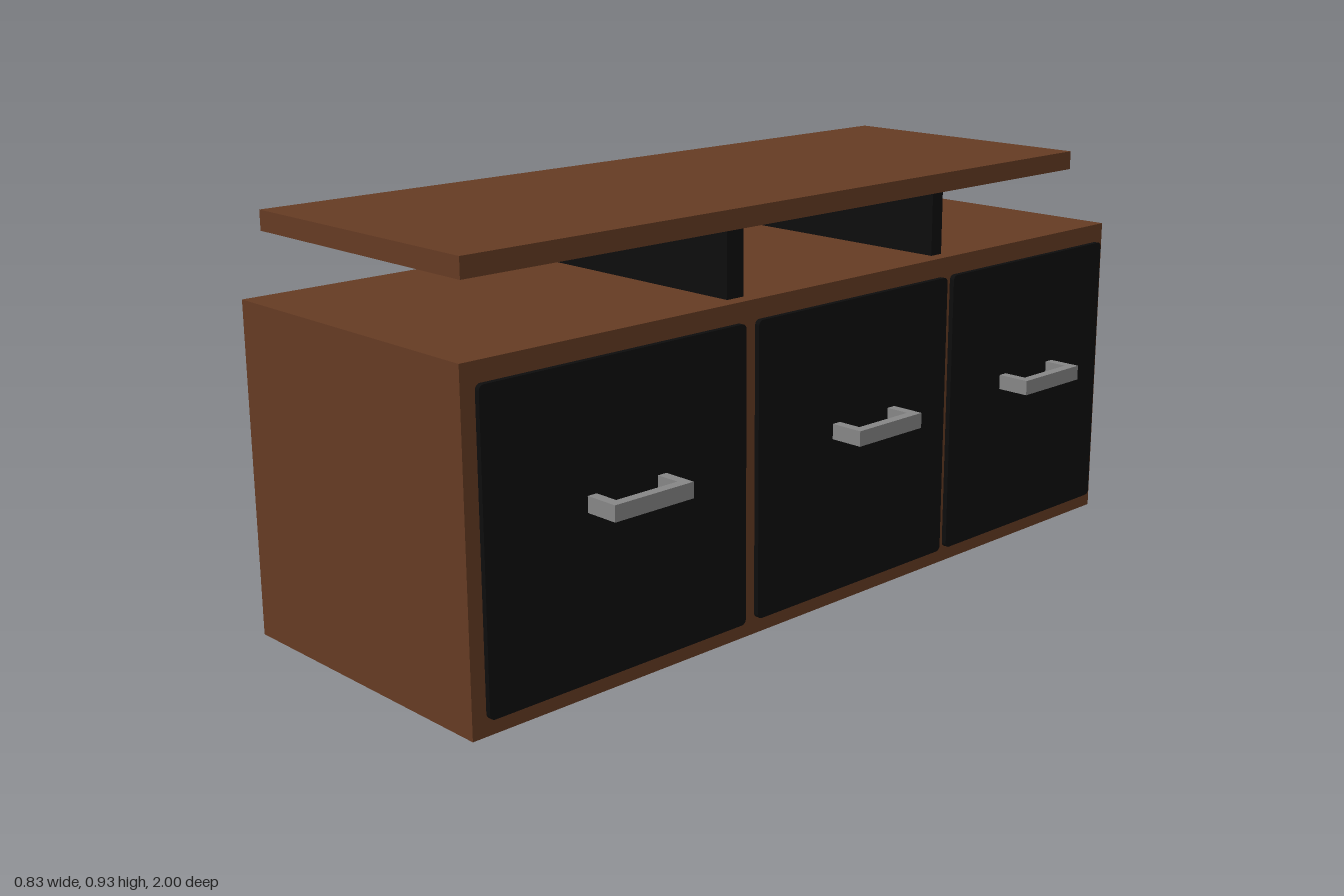
import * as THREE from 'three';

export function createModel() {
  const model = new THREE.Group();
  model.name = 'sideboard';

  const mat = (name, color) => {
    const m = new THREE.MeshStandardMaterial({ color });
    m.name = name;
    return m;
  };
  const wood = mat('brown wood', 0x653b23);
  const black = mat('black panel', 0x0d0d0d);
  const metal = mat('grey metal', 0x868686);

  // Box given by its minimum and maximum corners
  const box = (name, material, [x0, y0, z0], [x1, y1, z1], parent = model) => {
    const mesh = new THREE.Mesh(new THREE.BoxGeometry(x1 - x0, y1 - y0, z1 - z0), material);
    mesh.position.set((x0 + x1) / 2, (y0 + y1) / 2, (z0 + z1) / 2);
    mesh.name = name;
    parent.add(mesh);
  };

  // Cabinet body and raised top shelf
  box('cabinetBody', wood, [-0.418, 0, -1], [0.324, 0.744, 1]);
  box('topShelf', wood, [-0.386, 0.888, -0.899], [0.29, 0.932, 0.965]);

  // Two full-depth supports under the shelf
  for (const [z0, z1] of [[0.24, 0.288], [-0.406, -0.371]]) {
    box('shelfSupport', black, [-0.386, 0.744, z0], [0.29, 0.888, z1]);
  }

  // Door panel with slightly rounded corners, facing +x
  const addDoor = (z0, z1) => {
    const w = (z1 - z0) / 2, h = 0.332, r = 0.012;
    const s = new THREE.Shape();
    s.moveTo(-w + r, -h);
    s.lineTo(w - r, -h);
    s.absarc(w - r, -h + r, r, -Math.PI / 2, 0);
    s.lineTo(w, h - r);
    s.absarc(w - r, h - r, r, 0, Math.PI / 2);
    s.lineTo(-w + r, h);
    s.absarc(-w + r, h - r, r, Math.PI / 2, Math.PI);
    s.lineTo(-w, -h + r);
    s.absarc(-w + r, -h + r, r, Math.PI, Math.PI * 1.5);
    const geo = new THREE.ExtrudeGeometry(s, { depth: 0.014, bevelEnabled: false, curveSegments: 5 });
    geo.rotateY(Math.PI / 2);
    const door = new THREE.Mesh(geo, black);
    door.position.set(0.322, 0.368, (z0 + z1) / 2);
    door.name = 'door';
    model.add(door);
  };

  // Square-section pull: a bar on two arms
  const addHandle = (z0, z1) => {
    const g = new THREE.Group();
    g.name = 'handle';
    const t = 0.023, y0 = 0.394, y1 = 0.429, x0 = 0.336, x1 = 0.416;
    box('handleBar', metal, [x1 - t, y0, z0], [x1, y1, z1], g);
    box('handleArm', metal, [x0, y0, z0], [x1 - t, y1, z0 + t], g);
    box('handleArm', metal, [x0, y0, z1 - t], [x1 - t, y1, z1], g);
    model.add(g);
  };

  const doors = [
    { door: [0.277, 0.966], handle: [0.505, 0.713] },
    { door: [-0.376, 0.24], handle: [-0.198, 0.008] },
    { door: [-0.981, -0.399], handle: [-0.793, -0.586] },
  ];
  for (const d of doors) {
    addDoor(...d.door);
    addHandle(...d.handle);
  }
  return model;
}
